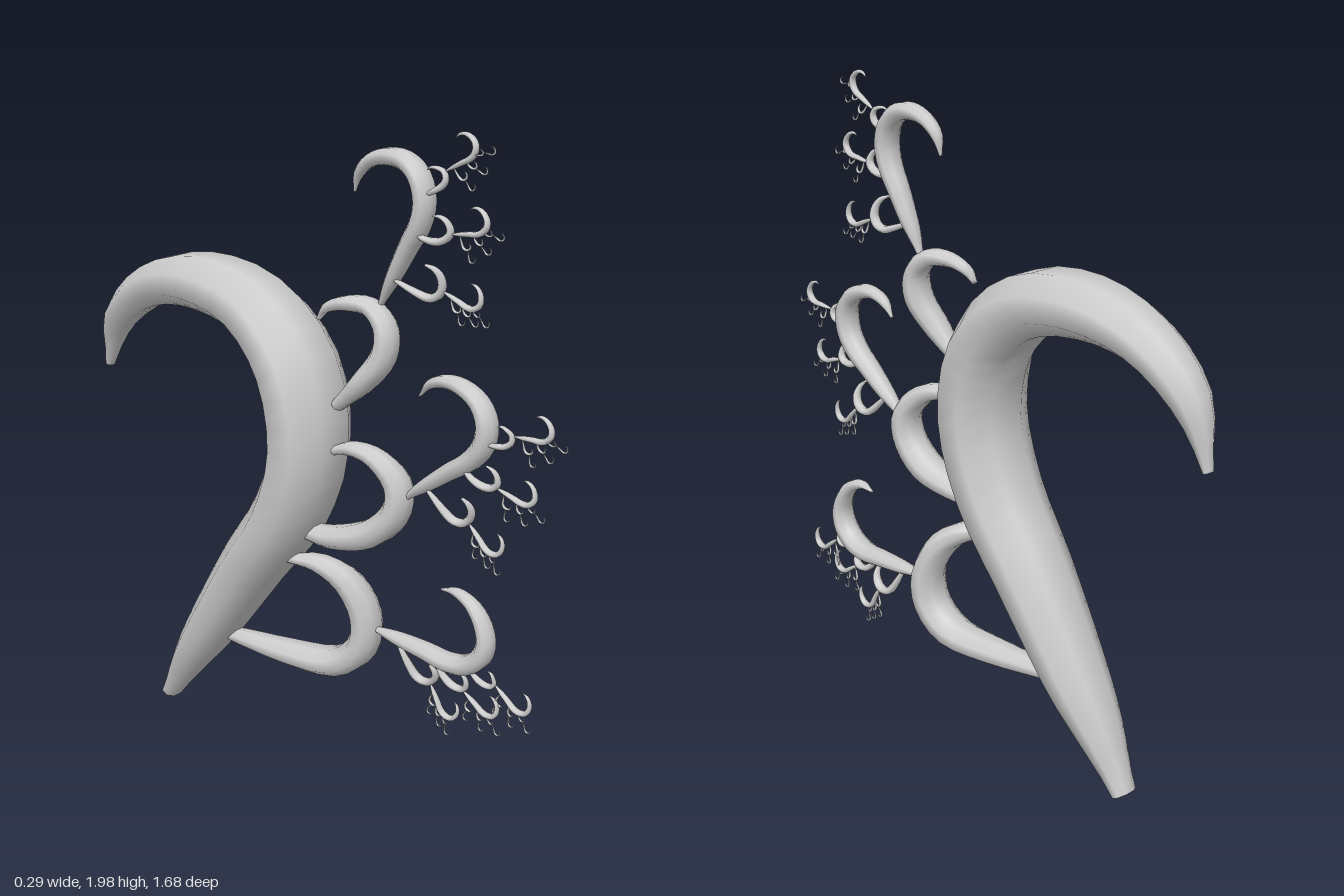
import * as THREE from 'three';
import { toCreasedNormals } from 'three/addons/utils/BufferGeometryUtils.js';

const SIDES = 8;
const FLATTEN = 1.38; // hooks are wider across x than in their own plane
const material = new THREE.MeshStandardMaterial({ color: 0xcccccc });

// Tapered horn lofted along rows of [z, y, x, radius], radius measured to the flats
function horn(rows, steps) {
  const path = new THREE.CatmullRomCurve3(rows.map(([z, y, x]) => new THREE.Vector3(x, y, z)), false, 'catmullrom', 0.5);
  const taper = new THREE.SplineCurve(rows.map((row, i) => new THREE.Vector2(i, row[3])));
  const across = new THREE.Vector3(1, 0, 0);
  const pos = [], index = [];
  for (let i = 0; i <= steps; i++) {
    const t = i / steps;
    const c = path.getPoint(t);
    const n = path.getTangent(t).setX(0).normalize().cross(across);
    const r = taper.getPoint(t).y / Math.cos(Math.PI / SIDES);
    for (let j = 0; j < SIDES; j++) {
      const a = ((j + 0.5) / SIDES) * Math.PI * 2;
      const p = c.clone().addScaledVector(across, r * FLATTEN * Math.cos(a)).addScaledVector(n, r * Math.sin(a));
      pos.push(p.x, p.y, p.z);
    }
  }
  for (let i = 0; i < steps; i++) {
    for (let j = 0; j < SIDES; j++) {
      const k = (j + 1) % SIDES;
      const a = i * SIDES + j, b = i * SIDES + k, c = b + SIDES, d = a + SIDES;
      index.push(a, b, c, a, c, d);
    }
  }
  // flat caps at the root and the tip
  const last = steps * SIDES;
  for (let j = 1; j < SIDES - 1; j++) {
    index.push(0, j + 1, j, last, last + j, last + j + 1);
  }
  const geometry = new THREE.BufferGeometry();
  geometry.setAttribute('position', new THREE.Float32BufferAttribute(pos, 3));
  geometry.setIndex(index);
  return toCreasedNormals(geometry, 1.2);
}

// Root of the large hook, the pivot for every smaller copy
const ROOT = new THREE.Vector3(-0.015, 0.01, -0.6);

const HOOK = [
  [-0.603, 0.017, -0.02, 0.028], [-0.5, 0.185, -0.018, 0.055], [-0.4, 0.335, -0.012, 0.074],
  [-0.225, 0.6, -0.008, 0.09], [-0.075, 0.81, -0.008, 0.098], [0, 1.04, -0.008, 0.101],
  [-0.045, 1.27, -0.008, 0.1], [-0.2, 1.42, -0.008, 0.09], [-0.42, 1.463, -0.01, 0.079],
  [-0.62, 1.42, -0.015, 0.063], [-0.77, 1.3, -0.02, 0.045], [-0.838, 1.125, -0.02, 0.012],
];

// Each branch: a curled connector, the point a smaller hook grows from, that
// hook's turn (degrees) on the large hook and on smaller ones, and how far the
// three curls on that hook swing about their own roots
const BRANCHES = [
  {
    name: 'lower', attach: [0.09, 0.46, 0.18], turn: -61, innerTurn: -58, swings: [0, 0, -25],
    curl: [
      [-0.4, 0.3, 0, 0.012], [-0.3, 0.305, 0.01, 0.024], [-0.12, 0.3, 0.04, 0.037],
      [0.04, 0.311, 0.07, 0.043], [0.13, 0.385, 0.085, 0.043], [0.146, 0.495, 0.085, 0.041],
      [0.1, 0.6, 0.06, 0.037], [0.02, 0.655, 0.02, 0.028], [-0.07, 0.66, -0.02, 0.014],
    ],
  },
  {
    name: 'middle', attach: [0.04, 0.94, 0.32], turn: -19, innerTurn: -30, swings: [-27, -25, -25],
    curl: [
      [-0.02, 0.76, 0, 0.025], [0.08, 0.762, 0.01, 0.033], [0.2, 0.8, 0.03, 0.04],
      [0.28, 0.88, 0.04, 0.038], [0.29, 0.97, 0.04, 0.035], [0.23, 1.04, 0.02, 0.028],
      [0.15, 1.06, 0, 0.02], [0.08, 1.04, -0.02, 0.01],
    ],
  },
  {
    name: 'upper', attach: [0.045, 1.485, 0.215], turn: 6, innerTurn: -10, swings: [-27, -25, -25],
    curl: [
      [0.1, 1.18, 0, 0.018], [0.18, 1.26, 0.01, 0.03], [0.235, 1.34, 0.03, 0.033],
      [0.24, 1.42, 0.035, 0.03], [0.19, 1.475, 0.03, 0.025], [0.12, 1.48, 0.01, 0.02],
      [0.06, 1.46, 0, 0.014], [0.035, 1.425, -0.01, 0.006],
    ],
  },
];

function part(name, geometry) {
  const mesh = new THREE.Mesh(geometry, material);
  mesh.name = name;
  return mesh;
}

// Turn from +z towards +y
const tilt = (degrees) => -THREE.MathUtils.degToRad(degrees);

export function createModel() {
  const levels = 3;
  const hookGeometry = horn(HOOK, 33).translate(-ROOT.x, -ROOT.y, -ROOT.z);
  // each curl is built around its own root so that it can swing there
  const curls = BRANCHES.map(({ curl }) => {
    const [z, y, x] = curl[0];
    return { root: new THREE.Vector3(x, y, z), geometry: horn(curl, 24).translate(-x, -y, -z) };
  });

  // A hook with its root at the origin, carrying smaller copies of itself
  function hookTree(level, swings) {
    const tree = new THREE.Group();
    tree.name = level === 0 ? 'mainHook' : 'branchHook';
    tree.add(part('hook', hookGeometry));
    if (level === levels) return tree;
    const spread = new THREE.Group();
    spread.name = 'branches';
    if (level > 0) {
      spread.scale.setScalar(0.94);
      spread.position.x = -0.06;
    }
    BRANCHES.forEach((b, i) => {
      const { root, geometry } = curls[i];
      const branch = new THREE.Group();
      branch.name = b.name + 'Branch';
      branch.position.copy(root).sub(ROOT);
      branch.rotation.x = tilt(swings[i]);
      const child = hookTree(level + 1, b.swings);
      child.position.set(...b.attach).sub(root);
      child.scale.setScalar(level === 0 ? 0.277 : 0.31);
      child.rotation.x = tilt(level === 0 ? b.turn : b.innerTurn);
      branch.add(part(b.name + 'Curl', geometry), child);
      spread.add(branch);
    });
    tree.add(spread);
    return tree;
  }

  const model = new THREE.Group();
  model.name = 'branchingHooks';
  const tree = hookTree(0, [0, 0, 0]);
  tree.position.copy(ROOT);
  model.add(tree);
  return model;
}
